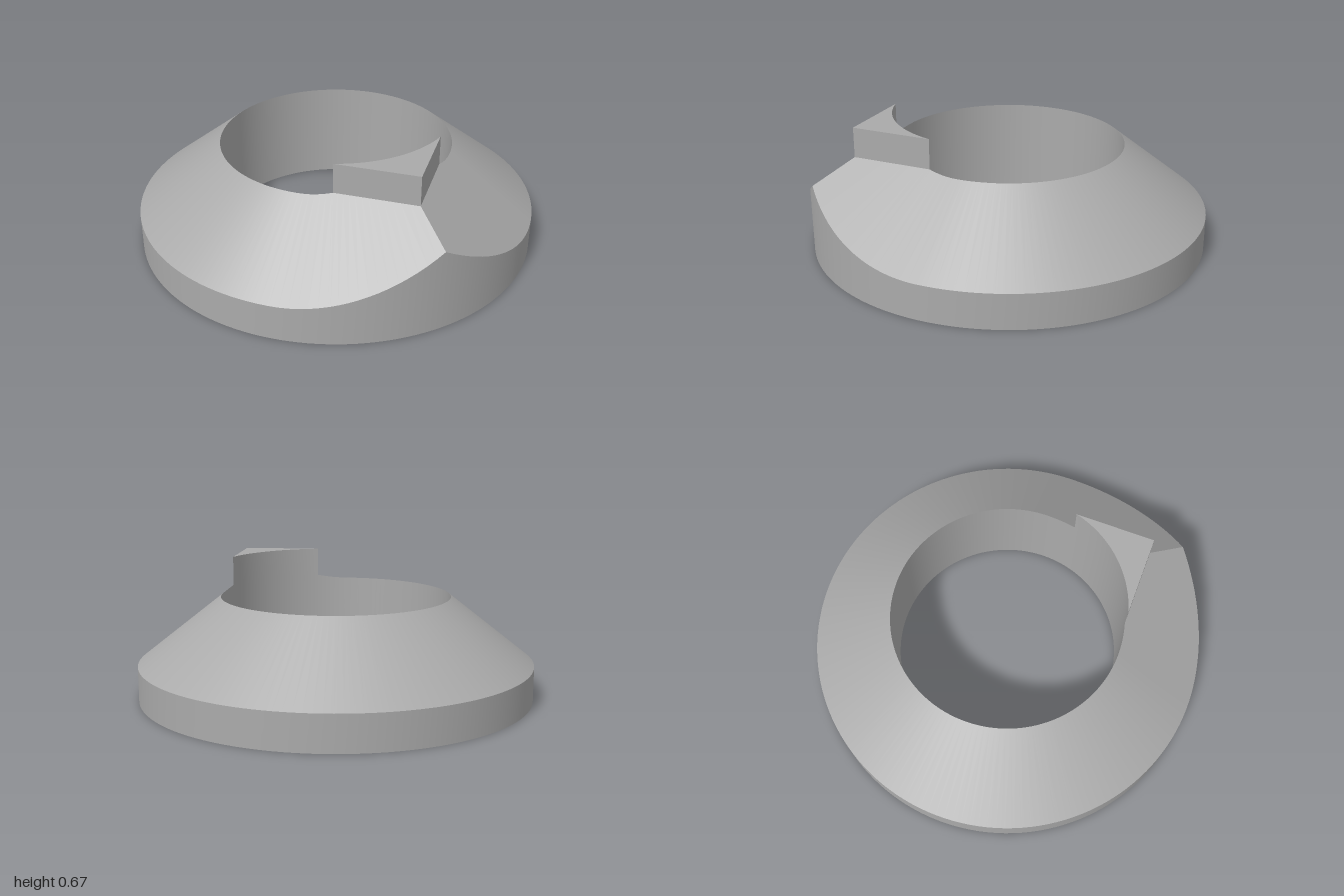
import * as THREE from 'three';
import { toCreasedNormals } from 'three/addons/utils/BufferGeometryUtils.js';

const OUTER = 1, BORE = 0.58;             // radii
const RIM = 0.175, SLOPE = 0.786;         // height of the outer wall, pitch of the cone
const KEY_TIP = 0.79, KEY_TOP = 0.67;     // wedge key on the front ridge
const Q = Math.PI / 4;
const KEY_REACH = KEY_TIP * Math.SQRT1_2; // distance of the key's side faces from the axis
const KEY_SEAT = RIM + SLOPE * (OUTER - KEY_REACH);
const KEY_ANGLE = Q - Math.acos(KEY_REACH / BORE);

// Angles are measured from the front (+z) towards +x
const angles = [];
for (let i = -72; i <= 72; i++) angles.push(i * Math.PI / 72);
angles.push(-KEY_ANGLE, KEY_ANGLE);
angles.sort((a, b) => a - b);

// In the front quarter the cone runs on into two tangent planes that meet in a ridge
const fan = (t) => (Math.abs(t) < Q ? Math.cos(Q - Math.abs(t)) : 1);
const height = (r, t) => RIM + SLOPE * (OUTER - r * fan(t));

// Cross-section as [radius, height], from the outer foot over the top to the bore
function section(t) {
  const inKey = Math.abs(t) < KEY_ANGLE - 1e-6;
  const edge = inKey ? KEY_REACH / fan(t) : BORE;
  const top = inKey ? KEY_SEAT : height(BORE, t);
  return [[OUTER, 0], [OUTER, height(OUTER, t)], [edge, top], [BORE, top], [BORE, 0], [OUTER, 0]];
}

function ringGeometry() {
  const rows = angles.map((t) => section(t).map(([r, y]) =>
    new THREE.Vector3(r * Math.sin(t), y, r * Math.cos(t))));
  const pos = [];
  const tri = (a, b, c) => {
    if (new THREE.Triangle(a, b, c).getArea() < 1e-9) return;
    for (const p of [a, b, c]) pos.push(p.x, p.y, p.z);
  };
  for (let i = 0; i < rows.length - 1; i++) {
    for (let j = 0; j < 5; j++) {
      const a = rows[i][j], b = rows[i + 1][j], c = rows[i + 1][j + 1], d = rows[i][j + 1];
      tri(a, b, c);
      tri(a, c, d);
    }
  }
  const g = new THREE.BufferGeometry();
  g.setAttribute('position', new THREE.Float32BufferAttribute(pos, 3));
  return toCreasedNormals(g, 0.4);
}

// Triangular key whose back follows the bore
function keyGeometry() {
  const pts = angles.filter((t) => Math.abs(t) <= KEY_ANGLE + 1e-6)
    .map((t) => new THREE.Vector2(BORE * Math.sin(t), -BORE * Math.cos(t)));
  pts.push(new THREE.Vector2(0, -KEY_TIP));
  const g = new THREE.ExtrudeGeometry(new THREE.Shape(pts),
    { depth: KEY_TOP - KEY_SEAT, bevelEnabled: false });
  g.rotateX(-Math.PI / 2);
  g.translate(0, KEY_SEAT, 0);
  return toCreasedNormals(g, 0.4);
}

export function createModel() {
  const group = new THREE.Group();
  const grey = new THREE.MeshStandardMaterial({ color: 0xaaaaaa });
  grey.name = 'grey';
  const add = (name, geometry) => {
    const mesh = new THREE.Mesh(geometry, grey);
    mesh.name = name;
    group.add(mesh);
  };
  add('conicalRing', ringGeometry());
  add('wedgeKey', keyGeometry());
  return group;
}
